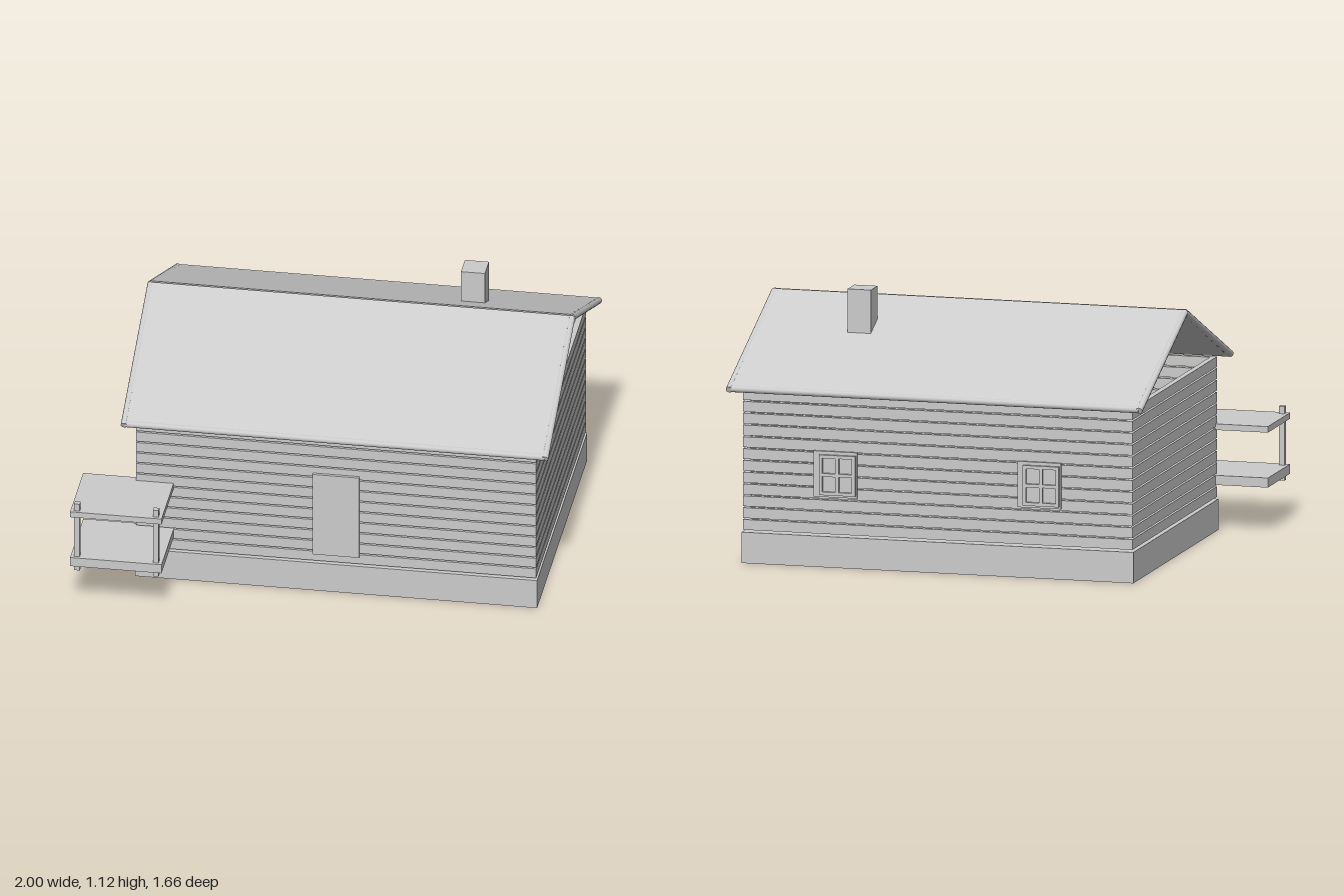
import * as THREE from 'three';

export function createModel() {
  const cabin = new THREE.Group();
  cabin.name = 'logCabin';
  const grey = new THREE.MeshStandardMaterial({ color: 0xcccccc });
  grey.name = 'plain grey';

  // Box given by its lower and upper limits on each axis
  function box(name, x0, x1, y0, y1, z0, z1, parent = cabin) {
    const mesh = new THREE.Mesh(new THREE.BoxGeometry(x1 - x0, y1 - y0, z1 - z0), grey);
    mesh.position.set((x0 + x1) / 2, (y0 + y1) / 2, (z0 + z1) / 2);
    mesh.name = name;
    parent.add(mesh);
    return mesh;
  }

  // Round pole between two points
  function pole(name, a, b, radius) {
    const from = new THREE.Vector3(...a), to = new THREE.Vector3(...b);
    const dir = to.clone().sub(from);
    const mesh = new THREE.Mesh(new THREE.CylinderGeometry(radius, radius, dir.length(), 12), grey);
    mesh.position.copy(from).add(to).multiplyScalar(0.5);
    mesh.quaternion.setFromUnitVectors(new THREE.Vector3(0, 1, 0), dir.normalize());
    mesh.name = name;
    cabin.add(mesh);
  }

  // Foundation
  box('foundation', -0.775, 0.94, 0, 0.132, -0.777, 0.521);

  // Log walls: twelve courses with open gaps between them
  const walls = new THREE.Group();
  walls.name = 'logWalls';
  cabin.add(walls);
  const L = -0.77, R = 0.935, B = -0.773, F = 0.517, t = 0.025;
  for (let i = 0; i < 12; i++) {
    const y0 = 0.142 + i * 0.0505, y1 = y0 + 0.044;
    box('frontLog', L, R, y0, y1, F - t, F, walls);
    box('backLog', L, R, y0, y1, B, B + t, walls);
    box('rightLog', L, L + t, y0, y1, B + t, F - t, walls);
    box('leftLog', R - t, R, y0, y1, B + t, F - t, walls);
  }

  // Roof: two sloping panels with round trim on eaves and gables
  const ridgeZ = -0.127, ridgeY = 1.047, eaveY = 0.75, run = 0.685, r = 0.0145;
  for (const side of [1, -1]) {
    const eaveZ = ridgeZ + side * run;
    const slope = Math.hypot(run, ridgeY - eaveY);
    const panel = new THREE.Mesh(new THREE.BoxGeometry(1.78, 0.025, slope), grey);
    panel.position.set(0.083, (ridgeY + eaveY) / 2, (ridgeZ + eaveZ) / 2);
    panel.rotation.x = side * Math.atan2(ridgeY - eaveY, run);
    panel.name = 'roofPanel';
    cabin.add(panel);
    pole('eaveTrim', [-0.81, eaveY, eaveZ], [0.978, eaveY, eaveZ], r);
    for (const x of [-0.813, 0.981]) {
      pole('gableTrim', [x, eaveY - 0.003, eaveZ + side * 0.01], [x, ridgeY, ridgeZ], r);
    }
  }

  // Chimney
  box('chimney', 0.48, 0.582, 0.69, 1.125, -0.407, -0.304);

  // Door
  box('door', -0.016, 0.183, 0.178, 0.562, 0.515, 0.53);

  // Side porch: two decks tied by two posts
  box('lowerDeck', -1, -0.61, 0.197, 0.238, 0.49, 0.83);
  box('upperDeck', -1, -0.61, 0.432, 0.458, 0.49, 0.83);
  for (const x of [-0.973, -0.637]) {
    box('porchPost', x - 0.012, x + 0.012, 0.172, 0.49, 0.793, 0.817);
  }

  // Rear windows: backing plate with a raised four-pane frame
  for (const x of [-0.365, 0.527]) {
    const win = new THREE.Group();
    win.name = 'window';
    cabin.add(win);
    box('windowPlate', x - 0.095, x + 0.095, 0.302, 0.498, -0.785, -0.772, win);
    const x0 = x - 0.09, x1 = x + 0.068, y0 = 0.312, y1 = 0.484, w = 0.014;
    for (const bx of [x0, (x0 + x1 - w) / 2, x1 - w]) {
      box('windowUpright', bx, bx + w, y0, y1, -0.799, -0.784, win);
    }
    for (const by of [y0, (y0 + y1 - w) / 2, y1 - w]) {
      box('windowRail', x0, x1, by, by + w, -0.798, -0.784, win);
    }
  }

  return cabin;
}
